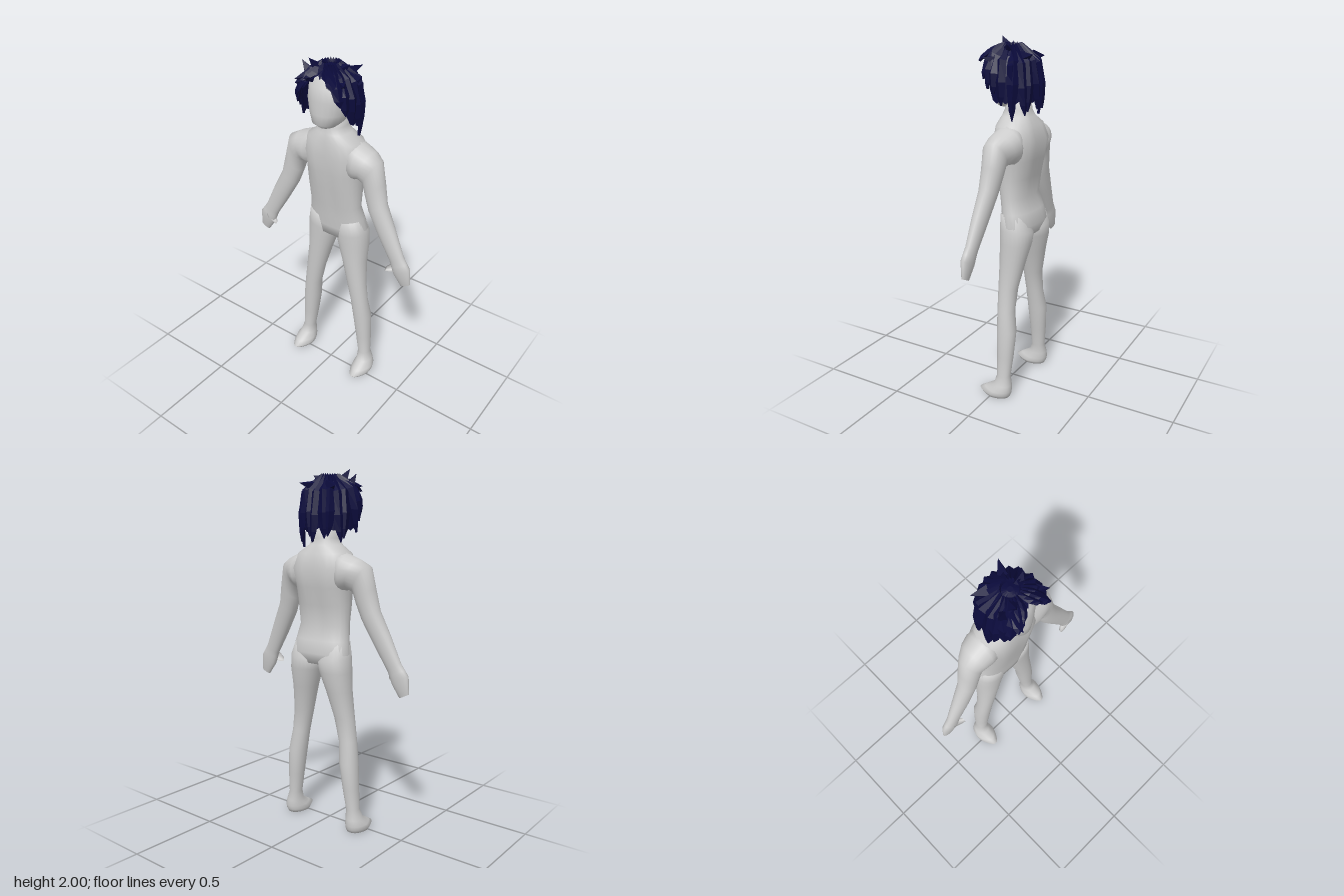
import * as THREE from 'three';

const skin = new THREE.MeshStandardMaterial({ color: 0xcccccc });
skin.name = 'pale grey skin';
const navy = new THREE.MeshStandardMaterial({ color: 0x0b0b3c, side: THREE.DoubleSide, flatShading: true });
navy.name = 'navy hair';

// Joins rings of points (top to bottom) into a closed, capped surface.
function skinRings(rings) {
  const n = rings[0].length, pos = [], idx = [];
  rings.forEach(r => r.forEach(p => pos.push(...p)));
  for (let i = 0; i < rings.length - 1; i++) {
    for (let j = 0; j < n; j++) {
      const k = (j + 1) % n, a = i * n + j, b = i * n + k, c = a + n, d = b + n;
      idx.push(a, b, c, b, d, c);
    }
  }
  [0, rings.length - 1].forEach((ri, end) => {
    const c = [0, 1, 2].map(q => rings[ri].reduce((s, p) => s + p[q], 0) / n);
    const ci = pos.length / 3;
    pos.push(...c);
    for (let j = 0; j < n; j++) {
      const a = ri * n + j, b = ri * n + (j + 1) % n;
      if (end) idx.push(ci, a, b); else idx.push(ci, b, a);
    }
  });
  const g = new THREE.BufferGeometry();
  g.setAttribute('position', new THREE.Float32BufferAttribute(pos, 3));
  g.setIndex(idx);
  g.computeVertexNormals();
  return g;
}

// Section: outer x, y, inner x, y, front z, back z, optional centre groove and front taper.
function section([ox, oy, ix, iy, zf, zb, groove = 0, taper = 0], power, n = 24) {
  const pts = [];
  for (let j = 0; j < n; j++) {
    const t = j / n * Math.PI * 2, c = Math.cos(t), s = Math.sin(t);
    const soft = v => Math.sign(v) * Math.abs(v) ** power;
    const u = soft(c) * (1 - taper * Math.max(0, s)) * 0.5;
    const w = soft(s) * (Math.abs(c) < 0.01 ? 1 - groove : 1) * 0.5;
    pts.push([(ox + ix) / 2 + u * (ox - ix), (oy + iy) / 2 + u * (oy - iy), (zf + zb) / 2 + w * (zf - zb)]);
  }
  return pts;
}

const loft = (rows, power = 0.85) => skinRings(rows.map(r => section(r, power)));
const central = (rows, power) => loft(rows.map(([h, y, zf, zb, g]) => [h, y, -h, y, zf, zb, g]), power);
const flip = rows => rows.map(([ox, oy, ix, iy, ...rest]) => [-ix, iy, -ox, oy, ...rest]);

const TORSO = [
  [0.065, 1.69, 0.03, -0.10], [0.07, 1.63, 0.035, -0.105], [0.09, 1.595, 0.05, -0.12, 0.03],
  [0.16, 1.55, 0.065, -0.15, 0.08], [0.19, 1.47, 0.075, -0.177, 0.1], [0.17, 1.37, 0.065, -0.16, 0.1],
  [0.165, 1.27, 0.05, -0.138, 0.08], [0.16, 1.16, 0.03, -0.12, 0.03], [0.172, 1.08, 0.02, -0.148],
  [0.187, 1.01, 0.013, -0.168], [0.18, 0.95, 0.005, -0.15],
];
const HEAD = [
  [0.03, 1.94, 0.0, -0.05], [0.08, 1.91, 0.06, -0.08], [0.113, 1.86, 0.105, -0.115], [0.12, 1.79, 0.115, -0.125],
  [0.106, 1.72, 0.115, -0.115], [0.078, 1.67, 0.118, -0.09], [0.045, 1.64, 0.08, -0.06],
];
const ARM = [
  [0.07, 1.6, 0.10, 1.33, 0.04, -0.13], [0.17, 1.545, 0.155, 1.35, 0.05, -0.145],
  [0.235, 1.52, 0.175, 1.36, 0.045, -0.13], [0.29, 1.49, 0.2, 1.345, 0.035, -0.1],
  [0.32, 1.37, 0.215, 1.285, 0.03, -0.085], [0.345, 1.26, 0.245, 1.2, 0.03, -0.068],
  [0.41, 1.13, 0.318, 1.07, 0.03, -0.05], [0.475, 0.99, 0.398, 0.94, 0.025, -0.032],
  [0.5, 0.955, 0.41, 0.91, 0.027, -0.03], [0.522, 0.925, 0.425, 0.87, 0.027, -0.028],
  [0.53, 0.83, 0.473, 0.802, 0.01, -0.015],
];
const THUMB = [
  [0.47, 0.94, 0.44, 0.89, 0.03, -0.01], [0.425, 0.945, 0.41, 0.885, 0.04, 0.0],
  [0.395, 0.915, 0.39, 0.885, 0.04, 0.015],
];
const LEG = [
  [0.17, 1.08, 0.01, 1.04, 0.012, -0.135], [0.19, 0.99, 0.0, 0.96, 0.012, -0.168],
  [0.195, 0.91, 0.012, 0.91, 0.008, -0.165], [0.192, 0.8, 0.05, 0.8, 0.005, -0.14],
  [0.205, 0.65, 0.09, 0.65, 0.0, -0.108], [0.222, 0.52, 0.12, 0.52, -0.005, -0.102],
  [0.24, 0.4, 0.135, 0.4, -0.01, -0.12], [0.247, 0.25, 0.158, 0.25, -0.018, -0.112],
  [0.25, 0.13, 0.178, 0.13, -0.022, -0.1], [0.268, 0.075, 0.175, 0.075, -0.005, -0.11],
  [0.285, 0.04, 0.165, 0.04, 0.055, -0.112, 0, 0.35], [0.286, 0.018, 0.162, 0.018, 0.09, -0.108, 0, 0.4],
  [0.278, 0, 0.168, 0, 0.075, -0.1, 0, 0.4],
];

// Scalp surface: s from 0 at the crown to 1 at the temples, then straight down.
function scalp(az, s, lift = 0) {
  const t = Math.min(s, 1) * Math.PI / 2, r = Math.sin(t);
  const y = s < 1 ? 1.8 + (0.155 + lift) * Math.cos(t) : 1.8 - (s - 1) * 0.2;
  return [Math.sin(az) * (0.15 + lift) * r, y, Math.cos(az) * (0.145 + lift) * r];
}
const depthAt = y => y > 1.8 ? Math.acos(Math.min(1, (y - 1.8) / 0.155)) / (Math.PI / 2) : 1 + (1.8 - y) / 0.2;

// Wedge-shaped lock: azimuth, tip height, width in degrees, outward flare.
function lock(azDeg, tipY, widthDeg, flare, drift = 0) {
  const end = depthAt(tipY), rad = Math.PI / 180, start = 0.18;
  const rings = [[0, 1], [0.3, 1.05], [0.6, 1], [0.85, 0.65], [1, 0.08]].map(([t, w]) => {
    const s = start + (end - start) * t, a = (azDeg + drift * t * t) * rad, h = widthDeg * w * rad / 2;
    const out = 0.006 + flare * t * t;
    return [scalp(a + h, s, out), scalp(a, s, out + 0.018 * w), scalp(a - h, s, out), scalp(a, s, out - 0.012)];
  });
  return skinRings(rings);
}

// Ragged scalp shell, open over the face.
function scalpShell() {
  const hem = d => d < 15 ? 1.905 : d < 55 ? 1.905 - (d - 15) * 0.0028 : d < 75 ? 1.79 - (d - 55) * 0.005 : 1.67;
  const cols = 36, rows = 7, rings = [];
  for (let i = 0; i <= rows; i++) {
    const ring = [];
    for (let j = 0; j < cols; j++) {
      const az = (j / cols * 360 + 5) * Math.PI / 180;
      const d = Math.abs(((j / cols * 360 + 5 + 180) % 360) - 180);
      ring.push(scalp(az, 0.06 + (depthAt(hem(d) + (j % 2) * 0.015) - 0.06) * i / rows));
    }
    rings.push(ring);
  }
  const g = skinRings(rings);
  // Leave the underside open
  g.setIndex(Array.from(g.index.array).slice(0, cols * rows * 6 + cols * 3));
  return g;
}

export function createModel() {
  const model = new THREE.Group();
  const add = (parent, name, geometry, material) => {
    const m = new THREE.Mesh(geometry, material);
    m.name = name;
    parent.add(m);
  };

  add(model, 'torso', central(TORSO, 0.85), skin);
  add(model, 'head', central(HEAD, 0.97), skin);
  for (const [side, f] of [['left', r => r], ['right', flip]]) {
    add(model, side + 'Arm', loft(f(ARM), 0.95), skin);
    add(model, side + 'Thumb', loft(f(THUMB), 0.9), skin);
    add(model, side + 'Leg', loft(f(LEG), 0.92), skin);
  }

  const hair = new THREE.Group();
  hair.name = 'hair';
  model.add(hair);
  add(hair, 'scalpHair', scalpShell(), navy);
  // Fringe and temple locks, parted just off centre
  const fringe = [
    [-8, 1.885, 24, 0.035, -14], [-24, 1.86, 28, 0.05, -8], [-38, 1.8, 26, 0.025, -6], [-54, 1.76, 26, 0.015, 2],
    [-70, 1.72, 26, 0.012, 0], [-86, 1.66, 26, 0.012, 4], [16, 1.89, 22, 0.03, 12], [30, 1.86, 26, 0.045, 8],
    [45, 1.79, 26, 0.015, 6], [60, 1.74, 24, 0.008, 2], [76, 1.72, 24, 0.006, 4], [92, 1.66, 24, 0.0, 4],
    [118, 1.58, 20, -0.005, 0],
  ];
  fringe.forEach(l => add(hair, 'frontLock', lock(...l), navy));
  // Long locks round the back
  for (let i = 0; i < 9; i++) {
    add(hair, 'backLock', lock(122 + i * 16, [1.64, 1.61, 1.63][i % 3], 25, 0.006, i % 2 ? 5 : -5), navy);
  }
  // Loose tufts on top: base x, y, z, then tip x, y, z
  const up = new THREE.Vector3(0, 1, 0);
  [[-0.04, 1.93, 0.05, -0.06, 2, 0.1], [-0.09, 1.9, 0.05, -0.125, 1.97, 0.07], [-0.06, 1.91, 0.08, -0.09, 1.91, 0.175],
    [0.05, 1.93, 0.0, 0.1, 1.965, -0.02], [0.09, 1.88, 0.04, 0.15, 1.9, 0.1], [0.04, 1.9, -0.08, 0.08, 1.92, -0.16],
    [-0.06, 1.9, -0.08, -0.13, 1.9, -0.12]].forEach(([a, b, c, d, e, f]) => {
    const p = new THREE.Vector3(a, b, c), dir = new THREE.Vector3(d, e, f).sub(p), len = dir.length();
    const g = new THREE.ConeGeometry(0.038, len, 4).translate(0, len / 2, 0);
    g.applyQuaternion(new THREE.Quaternion().setFromUnitVectors(up, dir.normalize())).translate(a, b, c);
    add(hair, 'hairTuft', g, navy);
  });
  return model;
}
